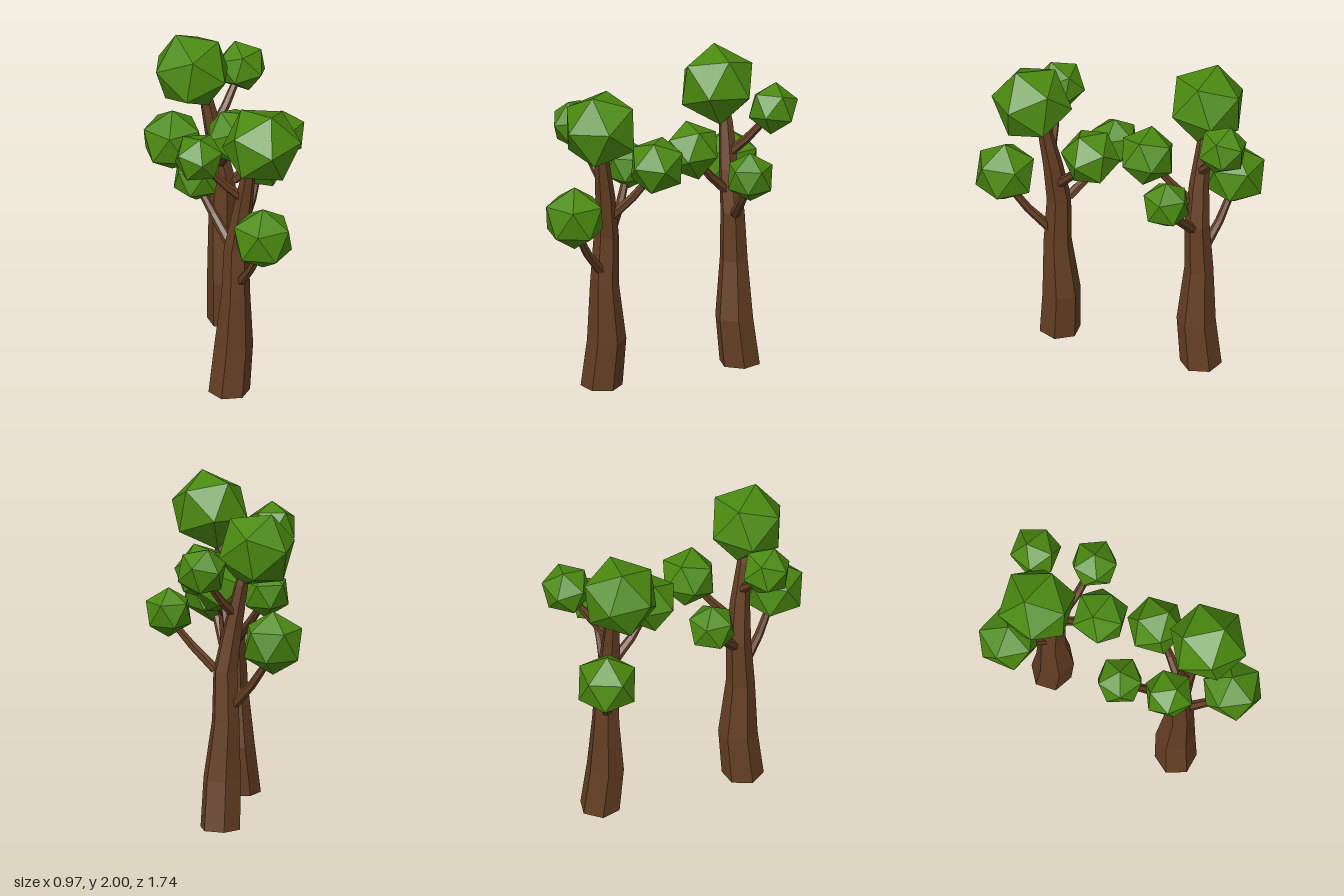
import * as THREE from 'three';

const bark = new THREE.MeshStandardMaterial({ color: 0x653f24 });
bark.name = 'bark brown';
const leaf = new THREE.MeshStandardMaterial({ color: 0x4b8a10 });
leaf.name = 'leaf green';

const UP = new THREE.Vector3(0, 1, 0);

// Faceted six-sided limb through rings [x, y, z, radius], each square to the axis
function limb(name, rings, axis = UP) {
  const sides = 6;
  const turn = new THREE.Quaternion().setFromUnitVectors(UP, axis);
  const centre = (r) => new THREE.Vector3(r[0], r[1], r[2]);
  const corner = (r, k) => {
    const a = (k / sides) * Math.PI * 2;
    return new THREE.Vector3(Math.cos(a) * r[3], 0, Math.sin(a) * r[3]).applyQuaternion(turn).add(centre(r));
  };
  const pts = [];
  const first = rings[0], last = rings[rings.length - 1];
  for (let k = 0; k < sides; k++) {
    for (let i = 0; i < rings.length - 1; i++) {
      const a = corner(rings[i], k), b = corner(rings[i], k + 1);
      const c = corner(rings[i + 1], k), d = corner(rings[i + 1], k + 1);
      pts.push(a, c, b, b, c, d);
    }
    pts.push(centre(first), corner(first, k), corner(first, k + 1));
    pts.push(centre(last), corner(last, k + 1), corner(last, k));
  }
  const geo = new THREE.BufferGeometry().setFromPoints(pts);
  geo.computeVertexNormals();
  const mesh = new THREE.Mesh(geo, bark);
  mesh.name = name;
  return mesh;
}

// Right-handed frame: y along p, z leaning towards q
function frame(p, q) {
  const y = p.clone().normalize();
  const x = new THREE.Vector3().crossVectors(y, q).normalize();
  const z = new THREE.Vector3().crossVectors(x, y);
  return new THREE.Matrix4().makeBasis(x, y, z);
}

// Icosahedron with one corner along p and a neighbouring corner leaning towards q
function foliage(name, centre, radius, p, q) {
  const t = (1 + Math.sqrt(5)) / 2;
  const from = frame(new THREE.Vector3(0, 1, t), new THREE.Vector3(0, -1, t));
  const to = frame(new THREE.Vector3(...p), new THREE.Vector3(...q));
  const geo = new THREE.IcosahedronGeometry(radius, 0);
  geo.applyMatrix4(to.multiply(from.transpose()));
  const mesh = new THREE.Mesh(geo, leaf);
  mesh.name = name;
  mesh.position.set(...centre);
  return mesh;
}

// Branch of three points, tapering outwards
function branch(name, points, r0 = 0.033, r1 = 0.022) {
  const axis = new THREE.Vector3(...points[2]).sub(new THREE.Vector3(...points[0])).normalize();
  return limb(name, points.map((p, i) => [...p, r0 + (r1 - r0) * i / 2]), axis);
}

function makeTree(name) {
  const tree = new THREE.Group();
  tree.name = name;
  tree.add(
    limb('trunk', [
      [-0.11, 0, 0.385, 0.13],
      [-0.08, 0.31, 0.367, 0.122],
      [-0.07, 0.68, 0.39, 0.09],
      [-0.065, 1.0, 0.38, 0.078],
      [-0.03, 1.27, 0.41, 0.062],
      [0.0, 1.55, 0.458, 0.044],
      [0.04, 1.72, 0.49, 0.035],
    ]),
    branch('lowBranch', [[-0.045, 0.78, 0.43], [0.0, 0.93, 0.56], [0.05, 1.12, 0.68]]),
    branch('rightBranch', [[-0.1, 1.0, 0.325], [-0.18, 1.14, 0.2], [-0.26, 1.29, 0.1]]),
    branch('backBranch', [[-0.03, 1.13, 0.37], [0.05, 1.26, 0.26], [0.11, 1.41, 0.15]]),
    branch('highBranch', [[-0.01, 1.34, 0.42], [-0.14, 1.46, 0.43], [-0.28, 1.62, 0.445]]),
    foliage('crownFoliage', [0.075, 1.77, 0.515], 0.255, [0.1, 0.08, 0.99], [0.17, 1, 0]),
    foliage('lowFoliage', [0.055, 1.212, 0.695], 0.203, [0, 1, 0], [-0.31, 0, 0.95]),
    foliage('rightFoliage', [-0.27, 1.345, 0.078], 0.158, [0, 1, 0], [0.2, 0, 1]),
    foliage('backFoliage', [0.118, 1.465, 0.125], 0.187, [0.17, 0.1, 1], [0.3, 1, 0]),
    foliage('highFoliage', [-0.31, 1.675, 0.443], 0.163, [0, 0.1, 1], [0, 1, 0]),
  );
  return tree;
}

export function createModel() {
  const model = new THREE.Group();
  model.name = 'treePair';
  const front = makeTree('frontTree');
  // Same tree turned round and set behind
  const back = makeTree('backTree');
  back.rotation.y = -THREE.MathUtils.degToRad(140);
  back.position.set(0.18, 0, -0.19);
  model.add(front, back);
  return model;
}
